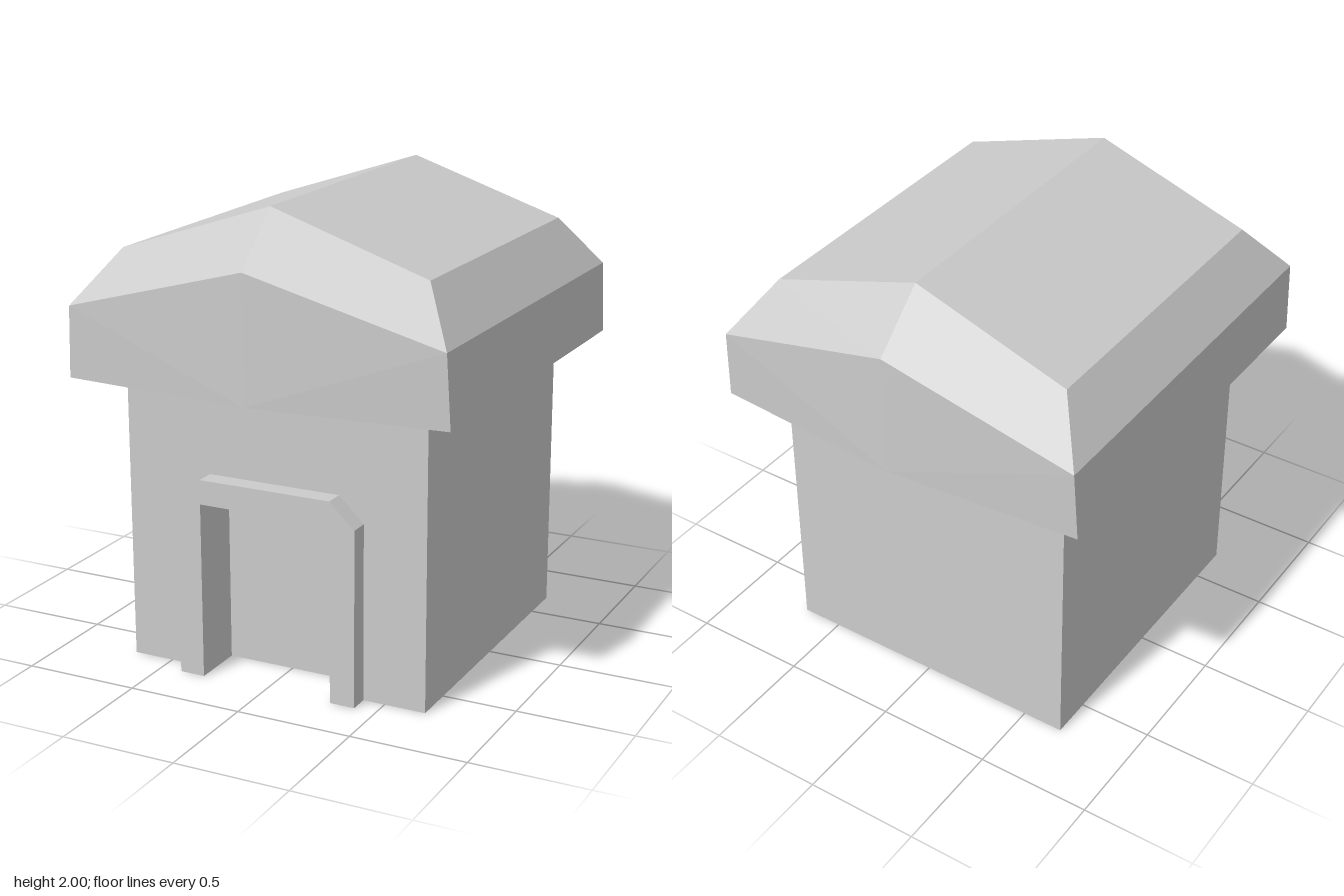
import * as THREE from 'three';

const material = new THREE.MeshStandardMaterial({ color: 0xcccccc, flatShading: true, side: THREE.DoubleSide });

const HALF = 0.68;     // half width and depth of the walls
const WALL_TOP = 1.25;
const DOOR_X = 0.295;  // half width of the doorway
const DOOR_TOP = 0.76;
const DOOR_BACK = 0.53; // z of the panel closing the doorway
const FRAME_DEPTH = 0.085;

function addMesh(parent, name, geometry, x = 0, y = 0, z = 0) {
  const mesh = new THREE.Mesh(geometry, material);
  mesh.name = name;
  mesh.position.set(x, y, z);
  parent.add(mesh);
  return mesh;
}

function outline(points) {
  return new THREE.Shape(points.map(([x, y]) => new THREE.Vector2(x, y)));
}

// Arch-shaped outline: outer points of the right half, mirrored around the doorway
function aroundDoor(outerRight) {
  const outerLeft = outerRight.map(([x, y]) => [-x, y]).reverse();
  return outline([
    ...outerRight, ...outerLeft,
    [-DOOR_X, 0], [-DOOR_X, DOOR_TOP], [DOOR_X, DOOR_TOP], [DOOR_X, 0],
  ]);
}

// Roof: six-sided rings (corners plus ridge points), stacked and capped
function roofGeometry() {
  const ring = ([x, y, z, ridgeY, ridgeZ]) => [
    [x, y, z], [x, y, -z], [0, ridgeY, -ridgeZ],
    [-x, y, -z], [-x, y, z], [0, ridgeY, ridgeZ],
  ];
  const rings = [
    [0.845, 1.25, 0.85, 1.25, 0.915],
    [0.83, 1.555, 0.86, 1.785, 0.915],
    [0.68, 1.775, 0.68, 2, 0.68],
  ].map(ring);
  const positions = [];
  const quad = (a, b, c, d) => positions.push(...a, ...b, ...c, ...a, ...c, ...d);
  for (let r = 0; r < 2; r++) {
    for (let i = 0; i < 6; i++) {
      const j = (i + 1) % 6;
      // split the hips symmetrically on both sides of the ridge
      if (i === 1 || i === 4) quad(rings[r][j], rings[r + 1][j], rings[r + 1][i], rings[r][i]);
      else quad(rings[r][i], rings[r][j], rings[r + 1][j], rings[r + 1][i]);
    }
  }
  const [under, , top] = rings;
  quad(top[0], top[1], top[2], top[5]);
  quad(top[5], top[2], top[3], top[4]);
  quad(under[5], under[2], under[1], under[0]);
  quad(under[4], under[3], under[2], under[5]);
  const geometry = new THREE.BufferGeometry();
  geometry.setAttribute('position', new THREE.Float32BufferAttribute(positions, 3));
  geometry.computeVertexNormals();
  return geometry;
}

export function createModel() {
  const model = new THREE.Group();
  model.name = 'kennel';

  // Hollow walls
  const walls = new THREE.Group();
  walls.name = 'walls';
  model.add(walls);
  const wall = new THREE.PlaneGeometry(2 * HALF, WALL_TOP);
  addMesh(walls, 'backWall', wall, 0, WALL_TOP / 2, -HALF).rotation.y = Math.PI;
  const front = new THREE.ShapeGeometry(aroundDoor([[HALF, 0], [HALF, WALL_TOP]]));
  addMesh(walls, 'frontWall', front, 0, 0, HALF);

  // Doorway recess, open at the bottom
  const doorway = new THREE.Group();
  doorway.name = 'doorway';
  model.add(doorway);
  const depth = HALF - DOOR_BACK;
  const middle = (HALF + DOOR_BACK) / 2;
  addMesh(doorway, 'doorPanel', new THREE.PlaneGeometry(2 * DOOR_X, DOOR_TOP), 0, DOOR_TOP / 2, DOOR_BACK);
  addMesh(doorway, 'doorwayCeiling', new THREE.PlaneGeometry(2 * DOOR_X, depth), 0, DOOR_TOP, middle)
    .rotation.x = Math.PI / 2;

  // Mirrored side walls, floor strips and doorway sides
  for (const [side, label] of [[1, 'left'], [-1, 'right']]) {
    addMesh(walls, label + 'Wall', wall, side * HALF, WALL_TOP / 2, 0).rotation.y = side * Math.PI / 2;
    const strip = new THREE.PlaneGeometry(HALF - DOOR_X, 2 * HALF);
    addMesh(walls, label + 'FloorStrip', strip, side * (HALF + DOOR_X) / 2, 0, 0).rotation.x = Math.PI / 2;
    const reveal = new THREE.PlaneGeometry(depth, DOOR_TOP);
    addMesh(doorway, label + 'DoorwaySide', reveal, side * DOOR_X, DOOR_TOP / 2, middle)
      .rotation.y = -side * Math.PI / 2;
  }

  // Raised frame with bevelled upper corners
  const frame = aroundDoor([[0.405, 0], [0.405, DOOR_TOP], [DOOR_X, 0.865]]);
  addMesh(model, 'doorFrame', new THREE.ExtrudeGeometry(frame, { depth: FRAME_DEPTH, bevelEnabled: false }), 0, 0, HALF);

  addMesh(model, 'roof', roofGeometry());
  return model;
}
